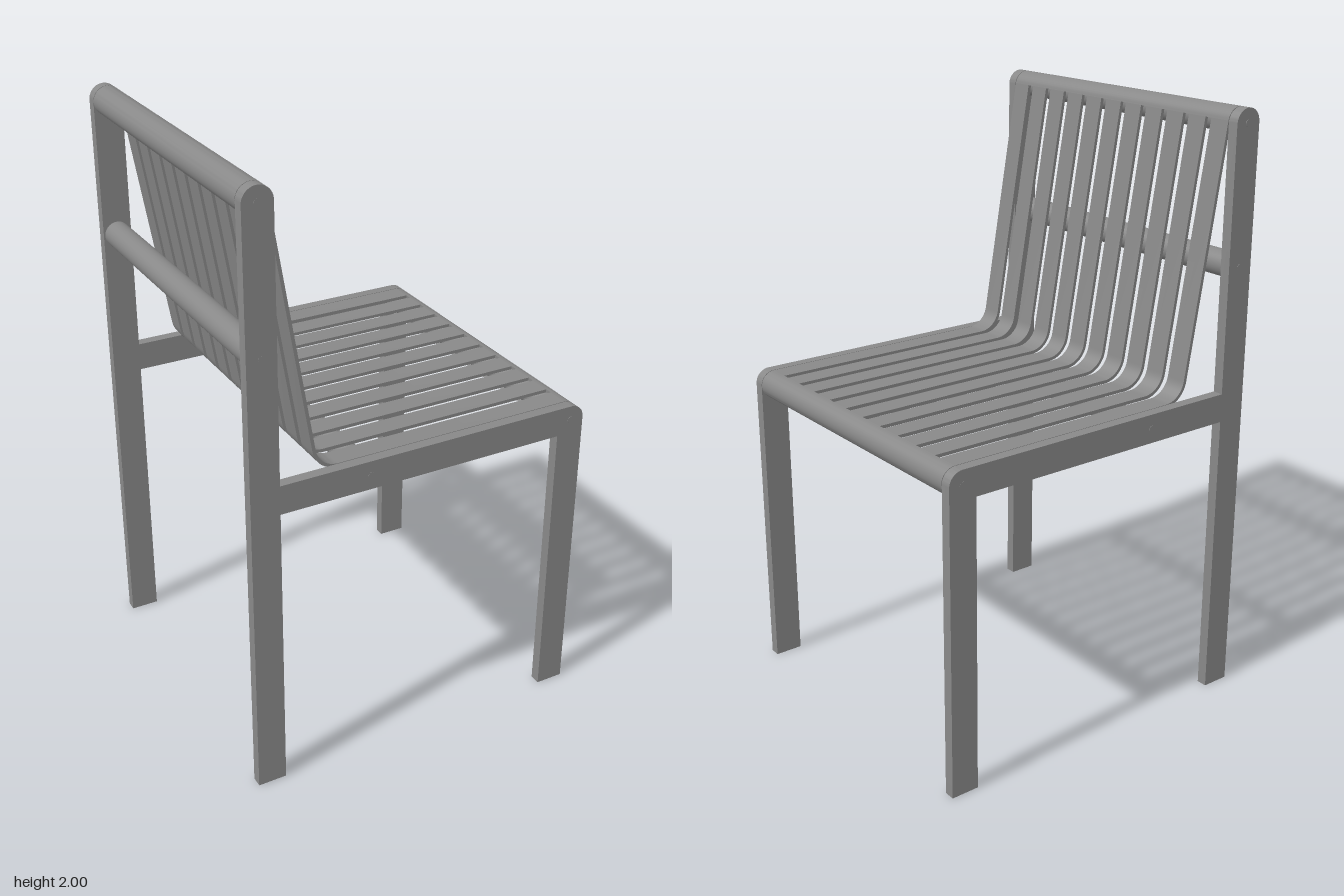
import * as THREE from 'three';
import { toCreasedNormals } from 'three/addons/utils/BufferGeometryUtils.js';

const WIDTH = 1.13;         // overall width, along the chair's own z
const FRAME = 0.036;        // thickness of the side frames
const R = 0.048;            // half the width of legs, rails and rolled edges
const SHEET = 0.011;        // thickness of the slatted sheet
const SLAT = 0.073, GAP = 0.025, SLATS = 11;
const INNER = WIDTH - 2 * FRAME;
const SHEET_WIDTH = SLATS * SLAT + (SLATS - 1) * GAP;   // leaves a fine seam at each frame

const TOP = { x: -0.543, y: 1.952 };    // top bar
const FRONT = { x: 0.543, y: 1.035 };   // front bar
const LEAN = THREE.MathUtils.degToRad(9.6);

const material = new THREE.MeshStandardMaterial({ color: 0x888888, side: THREE.DoubleSide });

function add(parent, name, geometry, x = 0, y = 0, z = 0) {
  const mesh = new THREE.Mesh(geometry, material);
  mesh.name = name;
  mesh.position.set(x, y, z);
  parent.add(mesh);
  return mesh;
}

// Extrude a side profile across the chair, centred on z = 0
function across(shape, depth) {
  const geometry = new THREE.ExtrudeGeometry(shape, { depth, bevelEnabled: false, curveSegments: 16 });
  geometry.translate(0, 0, -depth / 2);
  return toCreasedNormals(geometry, 0.6);
}

// Arc points with their outward normals; side is -1 where the visible face is concave
function arc(c, r, from, to, steps, side = 1) {
  return Array.from({ length: steps + 1 }, (_, i) => {
    const a = from + (to - from) * i / steps;
    const n = new THREE.Vector2(Math.cos(a), Math.sin(a));
    return { p: new THREE.Vector2(c.x + r * n.x, c.y + r * n.y), n: n.multiplyScalar(side) };
  });
}

// Closed profile of a bent sheet, thickened away from the visible face
function sheetShape(path) {
  const inside = path.map(({ p, n }) => p.clone().addScaledVector(n, -SHEET)).reverse();
  return new THREE.Shape([...path.map(({ p }) => p), ...inside]);
}

// Side frame: back post, seat rail and front leg in one outline
function frameShape() {
  const s = new THREE.Shape();
  const out = TOP.x - R, inn = TOP.x + R, seat = FRONT.y + R, under = FRONT.y - R;
  s.moveTo(out, 0);
  s.lineTo(inn, 0);
  s.lineTo(inn, under);
  s.lineTo(FRONT.x - R, under);
  s.lineTo(FRONT.x - R, 0);
  s.lineTo(FRONT.x + R, 0);
  s.lineTo(FRONT.x + R, FRONT.y);
  s.absarc(FRONT.x, FRONT.y, R, 0, Math.PI / 2, false);
  s.lineTo(inn, seat);
  s.lineTo(inn, TOP.y);
  s.absarc(TOP.x, TOP.y, R, 0, Math.PI, false);
  s.lineTo(out, 0);
  return s;
}

export function createModel() {
  const model = new THREE.Group();
  model.name = 'chair';
  const chair = new THREE.Group();
  chair.name = 'chairBody';
  chair.rotation.y = -THREE.MathUtils.degToRad(10);
  model.add(chair);

  // Cross bars between the frames
  const bars = [
    ['topBar', TOP.x, TOP.y, R - SHEET],
    ['backBar', TOP.x, 1.5, 0.043],
    ['seatBar', -0.19, FRONT.y, 0.037],
    ['frontBar', FRONT.x, FRONT.y, R - SHEET],
  ];
  for (const [name, x, y, r] of bars) {
    add(chair, name, new THREE.CylinderGeometry(r, r, INNER, 32), x, y).rotation.x = Math.PI / 2;
  }

  // Side frames, with a nearly flush bolt head at the end of every bar
  const frame = across(frameShape(), FRAME);
  const bolt = new THREE.CylinderGeometry(0.011, 0.011, 0.002, 16).rotateX(Math.PI / 2);
  for (const [side, sign] of [['left', -1], ['right', 1]]) {
    add(chair, `${side}Frame`, frame, 0, 0, sign * (WIDTH - FRAME) / 2);
    for (const [name, x, y] of bars) {
      add(chair, `${side}Bolt_${name}`, bolt, x, y, sign * WIDTH / 2);
    }
  }

  // Rolled edges of the sheet, wrapped round the top and front bars
  const topRoll = arc(TOP, R, Math.PI * 1.3, LEAN, 28);
  const frontRoll = arc(FRONT, R, Math.PI / 2, -Math.PI * 0.75, 28);
  add(chair, 'topRoll', across(sheetShape(topRoll), SHEET_WIDTH));
  add(chair, 'frontRoll', across(sheetShape(frontRoll), SHEET_WIDTH));

  // Slats: down the back, round the bend and along the seat
  const start = topRoll[topRoll.length - 1], end = frontRoll[0];
  const bendRadius = 0.075;
  const cornerX = start.p.x + (start.p.y - end.p.y) * Math.tan(LEAN);
  const bendX = cornerX + bendRadius * Math.tan((Math.PI / 2 - LEAN) / 2);
  const bend = arc({ x: bendX, y: end.p.y + bendRadius }, bendRadius,
    Math.PI + LEAN, Math.PI * 1.5, 12, -1);
  const slat = across(sheetShape([start, ...bend, end]), SLAT);
  for (let i = 0; i < SLATS; i++) {
    add(chair, `slat${i + 1}`, slat, 0, 0, (i - (SLATS - 1) / 2) * (SLAT + GAP));
  }

  return model;
}
